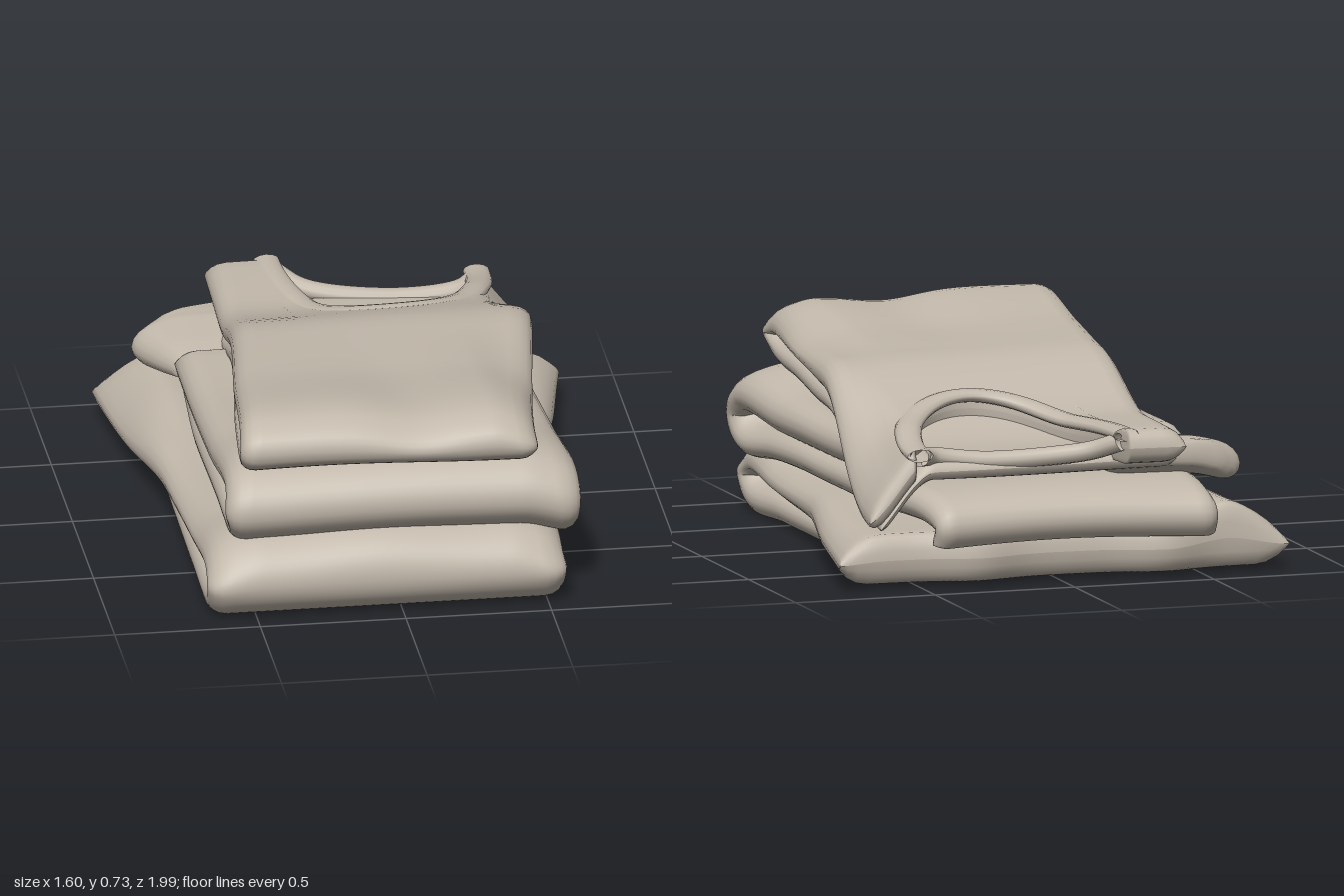
import * as THREE from 'three';

const smooth = (x, a, b) => THREE.MathUtils.smoothstep(x, a, b);
const bell = (x, centre, width) => Math.exp(-(((x - centre) / width) ** 2));

// Soft waves in the cloth; one phase for each garment
const wave = (x, z, seed) =>
  0.005 * Math.sin(4.2 * x + seed) * Math.cos(3.1 * z + 1.7 * seed) + 0.003 * Math.sin(7 * z + 5 * x + seed);

// Sweeps a rounded flat section along a folded path.
// Each station is [z, y, thickness, xRight, xLeft]; warp(p, v) may move the points.
function foldedSheet(stations, warp, rows = 76, flat = 64, arc = 8) {
  const path = new THREE.CatmullRomCurve3(stations.map(s => new THREE.Vector3(0, s[1], s[0])));
  const size = new THREE.CatmullRomCurve3(stations.map(s => new THREE.Vector3(s[2], s[3], s[4])));
  const tips = [0, 0.0008, 0.003, 0.006, 0.01];
  const vs = [...tips];
  for (let i = 1; i < rows; i++) vs.push(0.01 + 0.98 * i / rows);
  vs.push(...tips.map(t => 1 - t).reverse());

  const pos = [], index = [];
  let ring = 0;
  for (const v of vs) {
    const c = path.getPoint(v), tan = path.getTangent(v), s = size.getPoint(v);
    const e = Math.min(1, Math.min(v, 1 - v) / 0.012);
    const h = s.x / 2 * Math.sqrt(1 - (1 - e) ** 2), r = s.x * 0.6;
    const section = [];
    for (let i = 0; i <= arc; i++) {
      const a = -Math.PI / 2 + Math.PI * i / arc;
      section.push([s.z - r + r * Math.cos(a), h * Math.sin(a)]);
    }
    for (let i = 1; i < flat; i++) section.push([THREE.MathUtils.lerp(s.z - r, s.y + r, i / flat), h]);
    for (let i = 0; i <= arc; i++) {
      const a = Math.PI / 2 + Math.PI * i / arc;
      section.push([s.y + r + r * Math.cos(a), h * Math.sin(a)]);
    }
    for (let i = 1; i < flat; i++) section.push([THREE.MathUtils.lerp(s.y + r, s.z - r, i / flat), -h]);
    ring = section.length;
    for (const [x, n] of section) {
      const p = new THREE.Vector3(x, c.y - tan.z * n, c.z + tan.y * n);
      warp(p, v);
      pos.push(p.x, Math.max(0.01, p.y), p.z);
    }
  }
  for (let j = 0; j < vs.length - 1; j++) {
    for (let i = 0; i < ring; i++) {
      const a = j * ring + i, b = j * ring + (i + 1) % ring;
      index.push(a, a + ring, b, b, a + ring, b + ring);
    }
  }
  const geo = new THREE.BufferGeometry();
  geo.setAttribute('position', new THREE.Float32BufferAttribute(pos, 3));
  geo.setIndex(index);
  geo.computeVertexNormals();
  return geo;
}

// Height change of the top shirt: it sinks to the back and hangs at its left shoulder;
// its upper side also sags in the middle and along the left edge
const topBend = (x, z, y) =>
  wave(x, z, 2.6) - 0.14 * smooth(-z, 0, 0.6)
  - 0.24 * smooth(x, 0.44, 0.72) * smooth(-z, 0.1, 0.75)
  - smooth(y, 0.56, 0.69) * (0.045 * smooth(x, 0.3, 0.5) * smooth(z, -0.2, 0.6)
    + 0.028 * bell(x, 0.06, 0.16) * smooth(z, 0.1, 0.8));

// Back edge of the top shirt, cut out by the round neck
const neck = { x: 0.16, z: -0.89, rx: 0.355, rz: 0.55 };
function backEdge(x) {
  const u = (x - neck.x) / neck.rx;
  const shoulder = x < neck.x ? -0.99 : -0.86;
  return Math.abs(u) < 1 ? Math.max(shoulder, neck.z + neck.rz * Math.sqrt(1 - u * u)) : shoulder;
}

// Flattened band along points [x, y, z]
function band(points, radius, flatness) {
  const curve = new THREE.CatmullRomCurve3(points.map(([x, y, z]) => new THREE.Vector3(x, y / flatness, z)));
  const geo = new THREE.TubeGeometry(curve, 60, radius, 12);
  geo.scale(1, flatness, 1);
  return geo;
}

export function createModel() {
  const model = new THREE.Group();
  model.name = 'foldedShirts';
  const cloth = new THREE.MeshStandardMaterial({ color: 0xc2b8ab, side: THREE.DoubleSide });
  cloth.name = 'beigeCloth';
  const add = (name, geo) => {
    const mesh = new THREE.Mesh(geo, cloth);
    mesh.name = name;
    model.add(mesh);
  };

  // Bottom shirt: short lower layer, front fold, long upper layer with a lobed back edge
  add('bottomShirt', foldedSheet([
    [-0.44, 0.04, 0.06, -0.65, 0.53], [0, 0.055, 0.10, -0.66, 0.55],
    [0.5, 0.06, 0.105, -0.665, 0.555], [0.86, 0.067, 0.115, -0.665, 0.56],
    [0.915, 0.145, 0.12, -0.67, 0.565], [0.84, 0.212, 0.135, -0.665, 0.56],
    [0.5, 0.182, 0.135, -0.67, 0.58], [0, 0.157, 0.125, -0.695, 0.62],
    [-0.4, 0.13, 0.135, -0.755, 0.71], [-0.88, 0.112, 0.18, -0.805, 0.795],
  ], p => {
    const front = smooth(p.z, -0.2, 0.6) * smooth(p.y, 0.08, 0.24);
    const back = smooth(-p.z, -0.1, 0.6) * smooth(p.y, 0.06, 0.19);
    p.y += wave(p.x, p.z, 0.6) * smooth(p.y, 0.03, 0.2);
    p.y += front * (0.02 * bell(p.x, -0.08, 0.25) - 0.045 * smooth(Math.abs(p.x + 0.05), 0.42, 0.64));
    p.y += back * (0.06 * smooth(-p.x, 0.35, 0.6) - 0.09 * smooth(-p.x, 0.58, 0.8) - 0.03 * smooth(p.x, 0.62, 0.8));
    p.z -= smooth(-p.z, 0.6, 0.9) * (0.05 * bell(p.x, 0.3, 0.14) + 0.05 * bell(p.x, -0.36, 0.14) - 0.03 * p.x);
  }));

  // Middle shirt: long lower layer rolled down at the back, front fold, short upper layer
  add('middleShirt', foldedSheet([
    [-0.89, 0.17, 0.08, -0.53, 0.48], [-0.915, 0.235, 0.10, -0.53, 0.48],
    [-0.8, 0.28, 0.11, -0.53, 0.50], [-0.4, 0.285, 0.105, -0.56, 0.58],
    [0, 0.285, 0.10, -0.58, 0.58], [0.5, 0.293, 0.10, -0.58, 0.59],
    [0.8, 0.305, 0.10, -0.58, 0.61], [0.865, 0.385, 0.12, -0.60, 0.62],
    [0.79, 0.452, 0.135, -0.59, 0.62], [0.4, 0.405, 0.14, -0.59, 0.60],
    [0, 0.39, 0.13, -0.59, 0.58], [-0.42, 0.39, 0.13, -0.59, 0.57],
  ], p => {
    p.y += wave(p.x, p.z, 1.5) - 0.035 * smooth(p.x, 0.42, 0.62) * smooth(p.z, 0.1, 0.8);
    p.z -= 0.03 * smooth(-p.z, 0.6, 0.85) * Math.min(1, (p.x / 0.5) ** 2);
  }));

  // Sleeve of the middle shirt showing on the right side
  add('middleSleeve', foldedSheet([
    [-0.43, 0.34, 0.08, -0.59, -0.2], [-0.53, 0.345, 0.11, -0.64, -0.2],
    [-0.68, 0.355, 0.13, -0.70, -0.2], [-0.75, 0.37, 0.10, -0.62, -0.2],
    [-0.81, 0.38, 0.07, -0.42, -0.2],
  ], p => { p.y += 0.04 * smooth(p.x, -0.72, -0.5) - 0.005; }, 24, 16));

  // Top shirt: the back end of its upper layer follows the neck opening
  add('topShirt', foldedSheet([
    [-0.84, 0.545, 0.07, -0.42, 0.64], [-0.4, 0.55, 0.07, -0.42, 0.60],
    [0, 0.533, 0.075, -0.45, 0.57], [0.5, 0.545, 0.07, -0.515, 0.50],
    [0.86, 0.572, 0.08, -0.55, 0.46], [0.94, 0.628, 0.10, -0.56, 0.46],
    [0.86, 0.674, 0.11, -0.55, 0.46], [0.4, 0.63, 0.12, -0.505, 0.52],
    [0, 0.613, 0.12, -0.455, 0.58], [-0.5, 0.615, 0.11, -0.42, 0.64],
    [-0.98, 0.61, 0.12, -0.405, 0.685],
  ], (p, v) => {
    if (v > 0.6 && p.z < -0.1) p.z = -0.1 + (p.z + 0.1) / -0.88 * (backEdge(p.x) + 0.1);
    p.y += topBend(p.x, p.z, p.y);
    p.z += 0.012 * smooth(p.z, 0.6, 0.95) * smooth(p.x, -0.3, 0.3);
  }, 84, 90));

  // Collar bands around the neck
  const front = [];
  for (let i = 0; i <= 24; i++) {
    const a = Math.PI * i / 24;
    const x = neck.x - neck.rx * Math.cos(a);
    const z = neck.z + neck.rz * Math.sin(a) - 0.08 * smooth(-x, 0, 0.19) * (1 - Math.sin(a));
    front.push([x, 0.655 + topBend(x, z, 0.66), z]);
  }
  add('frontCollar', band(front, 0.046, 0.5));
  add('backCollar', band([
    [-0.18, 0.63, -0.95], [-0.1, 0.595, -0.88], [0, 0.58, -0.84], [0.25, 0.57, -0.80],
    [0.44, 0.59, -0.79], [0.51, 0.64, -0.86],
  ].map(([x, y, z]) => [x, y + topBend(x, z, y), z]), 0.036, 0.9));

  return model;
}
